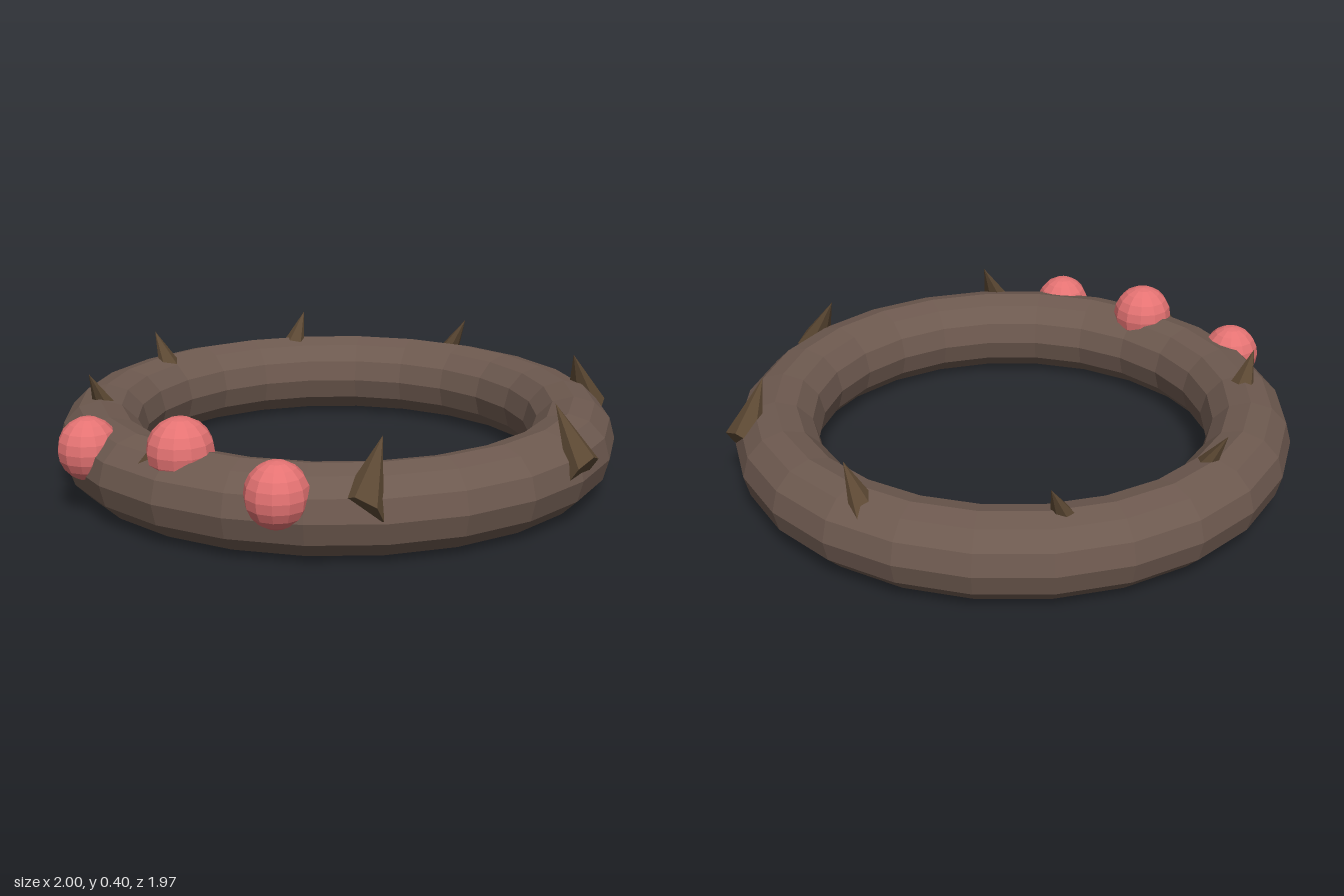
import * as THREE from 'three';

const CX = -0.017; // ring centre on x
const RING_Y = 0.1475;

function flat(color) {
  return new THREE.MeshStandardMaterial({ color, flatShading: true });
}

export function createModel() {
  const group = new THREE.Group();
  const add = (name, geometry, material, x, y, z) => {
    const mesh = new THREE.Mesh(geometry, material);
    mesh.name = name;
    mesh.position.set(x, y, z);
    group.add(mesh);
    return mesh;
  };

  // Branch ring lying flat
  const ring = new THREE.TorusGeometry(0.835, RING_Y, 12, 24).rotateX(Math.PI / 2);
  add('ring', ring, flat(0x6d594f), CX, RING_Y, 0);

  // Thorn: six-sided leaning cone with its tip at the origin and a slanted base
  const thorn = new THREE.ConeGeometry(1, 1, 6, 1, false, Math.PI / 2).translate(0, -0.5, 0);
  thorn.applyMatrix4(new THREE.Matrix4().makeBasis(
    new THREE.Vector3(0.035, 0.052, 0),
    new THREE.Vector3(-0.11, 0.207, 0),
    new THREE.Vector3(0, 0, 0.08)
  ));
  const thornMaterial = flat(0x5c4833);

  // Eight thorns, the lean turning twice as fast as the ring
  for (let i = 0; i < 8; i++) {
    const a = (i * Math.PI) / 4;
    const mesh = add('thorn', thorn, thornMaterial,
      CX + 0.87 * Math.cos(a), 0.39, 0.87 * Math.sin(a));
    mesh.rotation.y = -2 * a;
  }

  // Three berries at the front
  const berry = new THREE.SphereGeometry(1, 12, 10);
  const berryMaterial = flat(0xe57373);
  add('middleBerry', berry, berryMaterial, CX, 0.285, 0.837).scale.setScalar(0.11);
  for (const side of [-1, 1]) {
    add(side > 0 ? 'leftBerry' : 'rightBerry', berry, berryMaterial,
      CX + side * 0.393, 0.223, 0.85).scale.set(0.103, 0.108, 0.103);
  }

  return group;
}
